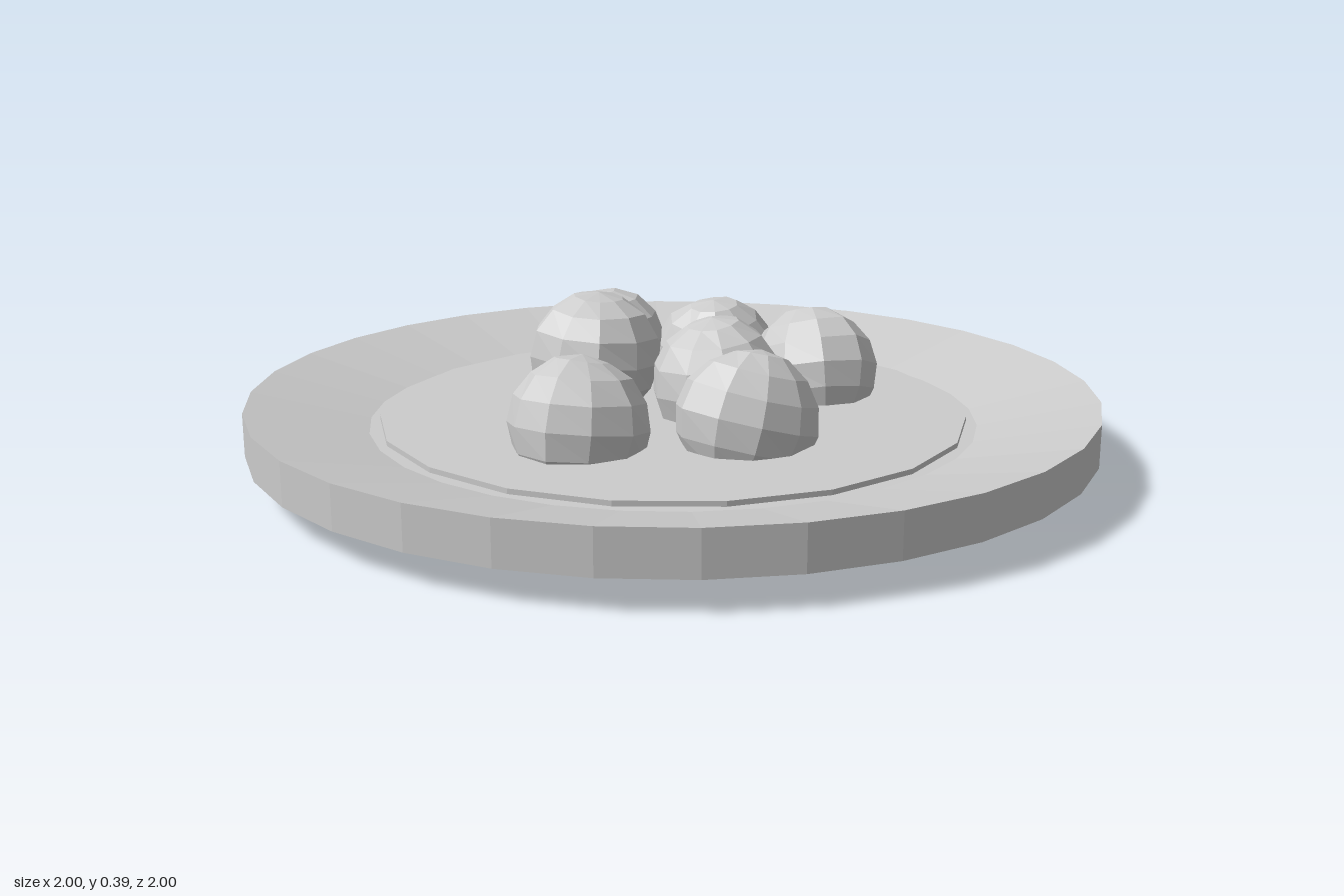
import * as THREE from 'three';

const material = new THREE.MeshStandardMaterial({ color: 0xcccccc, flatShading: true });

function addMesh(group, name, geometry) {
  const mesh = new THREE.Mesh(geometry, material);
  mesh.name = name;
  group.add(mesh);
  return mesh;
}

// Low-poly ball, gently dented by a smooth rule so that its seam stays closed
function lumpyBall(radius, seed) {
  const geometry = new THREE.SphereGeometry(radius, 10, 8);
  const position = geometry.attributes.position;
  const v = new THREE.Vector3();
  for (let i = 0; i < position.count; i++) {
    v.fromBufferAttribute(position, i).divideScalar(radius);
    const dent =
      Math.sin(3.1 * v.x + seed * 1.7) * Math.sin(2.7 * v.y + seed * 2.3) +
      0.7 * Math.sin(5.3 * v.z + 2.1 * v.x + seed * 3.1);
    v.multiplyScalar(radius * (1 + 0.03 * dent));
    position.setXYZ(i, v.x, v.y, v.z);
  }
  geometry.computeVertexNormals();
  return geometry;
}

export function createModel() {
  const model = new THREE.Group();
  model.name = 'plateOfBalls';

  // Plate: flat underside, upright edge and a rim sloping in to the well
  const plate = new THREE.Group();
  plate.name = 'plate';
  model.add(plate);
  const profile = [[0, 0.07], [1, 0.07], [1, 0.17], [0.72, 0.103], [0, 0.103]];
  addMesh(plate, 'plateRim',
    new THREE.LatheGeometry(profile.map(([r, y]) => new THREE.Vector2(r, y)), 32));

  // Thin disc lying in the well
  const disc = addMesh(plate, 'plateDisc', new THREE.CylinderGeometry(0.697, 0.697, 0.03, 19));
  disc.position.y = 0.1;
  disc.rotation.y = Math.PI;

  // Heap of balls: centre x, y, z
  const balls = new THREE.Group();
  balls.name = 'balls';
  model.add(balls);
  const centres = [
    [-0.27, 0.19, -0.245], [0, 0.17, -0.335], [0.275, 0.17, -0.28],
    [-0.2, 0.235, 0.008], [0.11, 0.185, -0.015],
    [0.245, 0.17, 0.205], [-0.097, 0.163, 0.355],
  ];
  centres.forEach(([x, y, z], i) => {
    const ball = addMesh(balls, `ball${i + 1}`, lumpyBall(0.16, i + 1));
    ball.position.set(x, y, z);
    ball.rotation.set(0.25 * Math.sin(i * 2.1), i * 1.3, 0.25 * Math.cos(i * 1.7));
  });

  // Rest the lowest ball on the ground
  model.updateMatrixWorld(true);
  const lowest = new THREE.Box3().setFromObject(model, true).min.y;
  balls.position.y -= lowest;
  return model;
}
